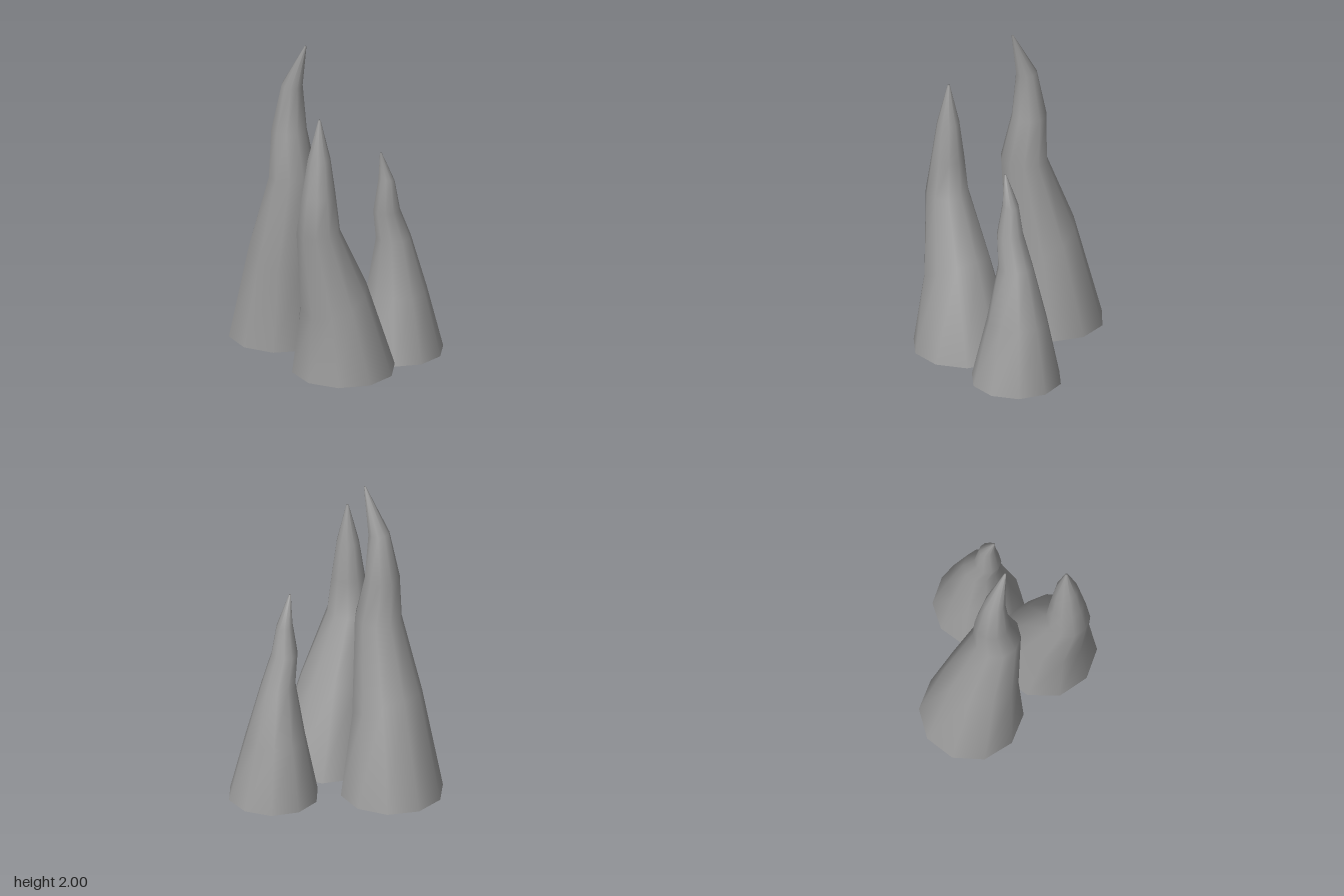
import * as THREE from 'three';

const SIDES = 10;
const material = new THREE.MeshStandardMaterial({ color: 0x9c9c9c, side: THREE.DoubleSide });

// Each ring: [x, y, z, radius, slope of the ring along x, slope along z]
function spike(name, rings, turn = 0) {
  const positions = [];
  const index = [];
  rings.forEach(([x, y, z, r, slopeX = 0, slopeZ = 0], k) => {
    for (let i = 0; i < SIDES; i++) {
      const a = (i / SIDES) * Math.PI * 2 + turn;
      // A tilted ring stays round, so it looks narrower from above
      const dx = (r * Math.sin(a)) / Math.hypot(1, slopeX);
      const dz = (r * Math.cos(a)) / Math.hypot(1, slopeZ);
      positions.push(x + dx, y + slopeX * dx + slopeZ * dz, z + dz);
      if (k === 0) continue;
      const j = (i + 1) % SIDES;
      const low = (k - 1) * SIDES;
      const high = k * SIDES;
      index.push(low + i, low + j, high + j, low + i, high + j, high + i);
    }
  });
  // Small cap on the tip; the base stays open
  const tip = (rings.length - 1) * SIDES;
  for (let i = 1; i < SIDES - 1; i++) index.push(tip, tip + i, tip + i + 1);

  const geometry = new THREE.BufferGeometry();
  geometry.setAttribute('position', new THREE.Float32BufferAttribute(positions, 3));
  geometry.setIndex(index);
  geometry.computeVertexNormals();
  const mesh = new THREE.Mesh(geometry, material);
  mesh.name = name;
  return mesh;
}

export function createModel() {
  const group = new THREE.Group();
  group.name = 'spikeCluster';

  // Tallest spike, bending sideways
  group.add(spike('tallSpike', [
    [-0.294, 0.064, 0.116, 0.311, 0.004, 0],
    [-0.232, 0.625, 0.15, 0.224, -0.48, -0.06],
    [-0.135, 1.15, 0.187, 0.143, 0.07, 0],
    [-0.17, 1.43, 0.18, 0.107, 0, 0],
    [-0.147, 1.72, 0.178, 0.064, -0.08, 0],
    [-0.04, 2.0, 0.178, 0.006],
  ], -0.042));

  // Middle spike, bending forward
  group.add(spike('frontSpike', [
    [0.295, 0.035, 0.217, 0.312],
    [0.287, 0.525, 0.298, 0.211, 0, -0.5],
    [0.268, 0.97, 0.412, 0.132],
    [0.267, 1.2, 0.406, 0.102],
    [0.267, 1.43, 0.403, 0.069],
    [0.267, 1.68, 0.4, 0.007],
  ]));

  // Short spike at the back
  group.add(spike('backSpike', [
    [0.295, 0.002, -0.272, 0.273],
    [0.285, 0.39, -0.268, 0.184],
    [0.28, 0.735, -0.245, 0.106],
    [0.276, 0.92, -0.19, 0.081],
    [0.274, 1.115, -0.192, 0.05, 0, 0.3],
    [0.274, 1.3, -0.141, 0.006],
  ]));

  return group;
}
